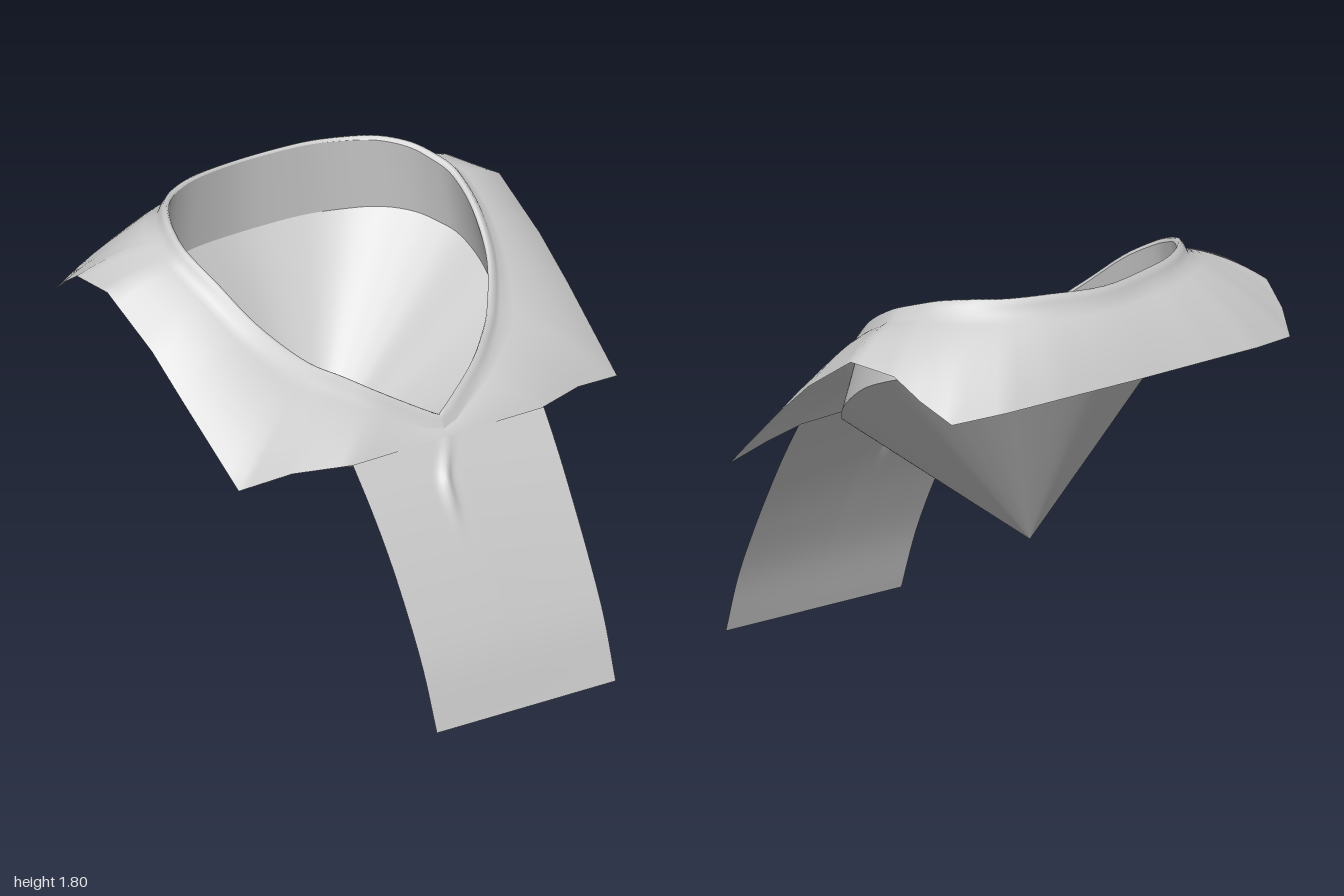
import * as THREE from 'three';

const V = (x, y, z) => new THREE.Vector3(x, y, z);

// Half of the neckline (front tip to back) paired with half of the yoke's outer border
const halfRim = [
  [0, 1.08, 0.43], [0.22, 1.2, 0.345], [0.35, 1.275, 0.265], [0.46, 1.345, 0.17], [0.58, 1.48, 0.02],
  [0.645, 1.62, -0.15], [0.67, 1.71, -0.31], [0.645, 1.755, -0.42], [0.605, 1.785, -0.51],
  [0.53, 1.8, -0.61], [0.42, 1.8, -0.69], [0.26, 1.8, -0.75], [0, 1.79, -0.79],
];
const halfBorder = [
  [0, 1.02, 0.495], [0.495, 1.01, 0.48], [0.74, 1.01, 0.4], [0.98, 0.98, 0.35], [0.985, 1.28, 0.03],
  [0.99, 1.43, -0.15], [1, 1.6, -0.42], [0.97, 1.59, -0.65], [0.94, 1.51, -0.78],
  [0.88, 1.43, -0.9], [0.65, 1.45, -0.97], [0.4, 1.46, -0.995], [0, 1.46, -1],
];

// Mirrors a half outline; the right side is slightly narrower at the front
function fullLoop(half) {
  const left = half.map(p => V(...p));
  const right = half.slice(0, -1).reverse().map(([x, y, z]) => V(-x * (z > 0.2 ? 0.97 : 1), y, z));
  return [...left, ...right];
}

// Joins equally long rows of points into a smooth sheet
function loft(rows, material, name) {
  const n = rows[0].length;
  const index = [];
  for (let r = 0; r < rows.length - 1; r++) {
    for (let c = 0; c < n - 1; c++) {
      const a = r * n + c, b = a + 1, d = a + n, e = d + 1;
      index.push(a, d, b, b, d, e);
    }
  }
  const geometry = new THREE.BufferGeometry().setFromPoints(rows.flat());
  geometry.setIndex(index);
  geometry.computeVertexNormals();
  const mesh = new THREE.Mesh(geometry, material);
  mesh.name = name;
  return mesh;
}

export function createModel() {
  const group = new THREE.Group();
  group.name = 'collarGarment';
  const cloth = new THREE.MeshStandardMaterial({ color: 0xcccccc, side: THREE.DoubleSide });
  cloth.name = 'light grey cloth';

  // Sample the neckline smoothly and the border with straight edges
  const rimPoints = fullLoop(halfRim), borderPoints = fullLoop(halfBorder);
  const curve = new THREE.CatmullRomCurve3(rimPoints, false, 'catmullrom', 0.5);
  const spans = rimPoints.length - 1, steps = spans * 5;
  const rim = [], border = [];
  for (let i = 0; i <= steps; i++) {
    rim.push(curve.getPoint(i / steps));
    const k = Math.min(Math.floor(i / 5), spans - 1);
    border.push(borderPoints[k].clone().lerp(borderPoints[k + 1], i / 5 - k));
  }

  // Rolled lip, then the yoke spreading out to the border
  const lipBase = rim.map((p, i) => {
    const d = border[i].clone().sub(p);
    return p.clone().addScaledVector(d.clone().normalize(), Math.min(0.065, d.length() * 0.6));
  });
  const lipRow = (t, lift) => rim.map((p, i) => {
    const q = p.clone().lerp(lipBase[i], t);
    q.y += lift;
    return q;
  });
  const yokeRows = [rim, lipRow(0.15, 0.02), lipRow(0.4, 0.03), lipRow(0.7, 0.02), lipBase];
  for (let r = 1; r <= 8; r++) {
    const s = r / 8;
    yokeRows.push(lipBase.map((p, i) => {
      const q = p.clone().lerp(border[i], s);
      q.y += 0.25 * s * (1 - s) * p.distanceTo(border[i]);
      return q;
    }));
  }
  group.add(loft(yokeRows, cloth, 'yoke'));

  // Inner collar wall, dropping from the neckline and widening a little
  const wallFoot = rim.map(p => {
    const out = V(p.x, 0, p.z + 0.2).normalize();
    const back = THREE.MathUtils.clamp((0.43 - p.z) / 1.22, 0, 1);
    const spread = THREE.MathUtils.lerp(0.07, 0.02, back * back);
    return p.clone().addScaledVector(out, spread).add(V(0, -0.22 - 0.09 * back, 0));
  });
  const blend = (t) => rim.map((p, i) => p.clone().lerp(wallFoot[i], t));
  group.add(loft([0, 0.5, 1].map(blend), cloth, 'collarWall'));

  // Cone-shaped inner bowl running down to a point
  const apex = V(0, 0.63, -0.34);
  const bowlRows = [0, 0.2, 0.4, 0.6, 0.8, 0.93, 0.999].map(t => wallFoot.map(p => p.clone().lerp(apex, t)));
  group.add(loft(bowlRows, cloth, 'innerBowl'));

  // Front apron: height, depth and half width down its length
  const profile = new THREE.CatmullRomCurve3([
    V(0.495, 1.015, 0.488), V(0.485, 0.86, 0.59), V(0.475, 0.69, 0.69),
    V(0.468, 0.49, 0.795), V(0.462, 0.26, 0.9), V(0.455, 0.01, 0.982),
  ]);
  const apronRows = [];
  for (let r = 0; r <= 30; r++) {
    const p = profile.getPoint(r / 30), row = [];
    for (let c = 0; c <= 60; c++) {
      const u = c / 30 - 1;
      const x = u * p.x * (u < 0 ? 0.97 : 1);
      // Small soft fold below the neckline tip
      const foldX = -0.09 * THREE.MathUtils.smoothstep(1.04 - p.y, 0, 0.18);
      const fold = 0.02 * Math.exp(-(((x - foldX) / 0.025) ** 2) - (((p.y - 0.87) / 0.1) ** 2));
      const s = r / 30;
      row.push(V(x, p.y + 0.005 * (1 - Math.abs(u)) * (1 - s) + fold * 0.5, p.z + 0.007 * (1 - Math.abs(u)) * (1 - s) + 0.01 * u * s + fold));
    }
    apronRows.push(row);
  }
  group.add(loft(apronRows, cloth, 'frontApron'));

  return group;
}
